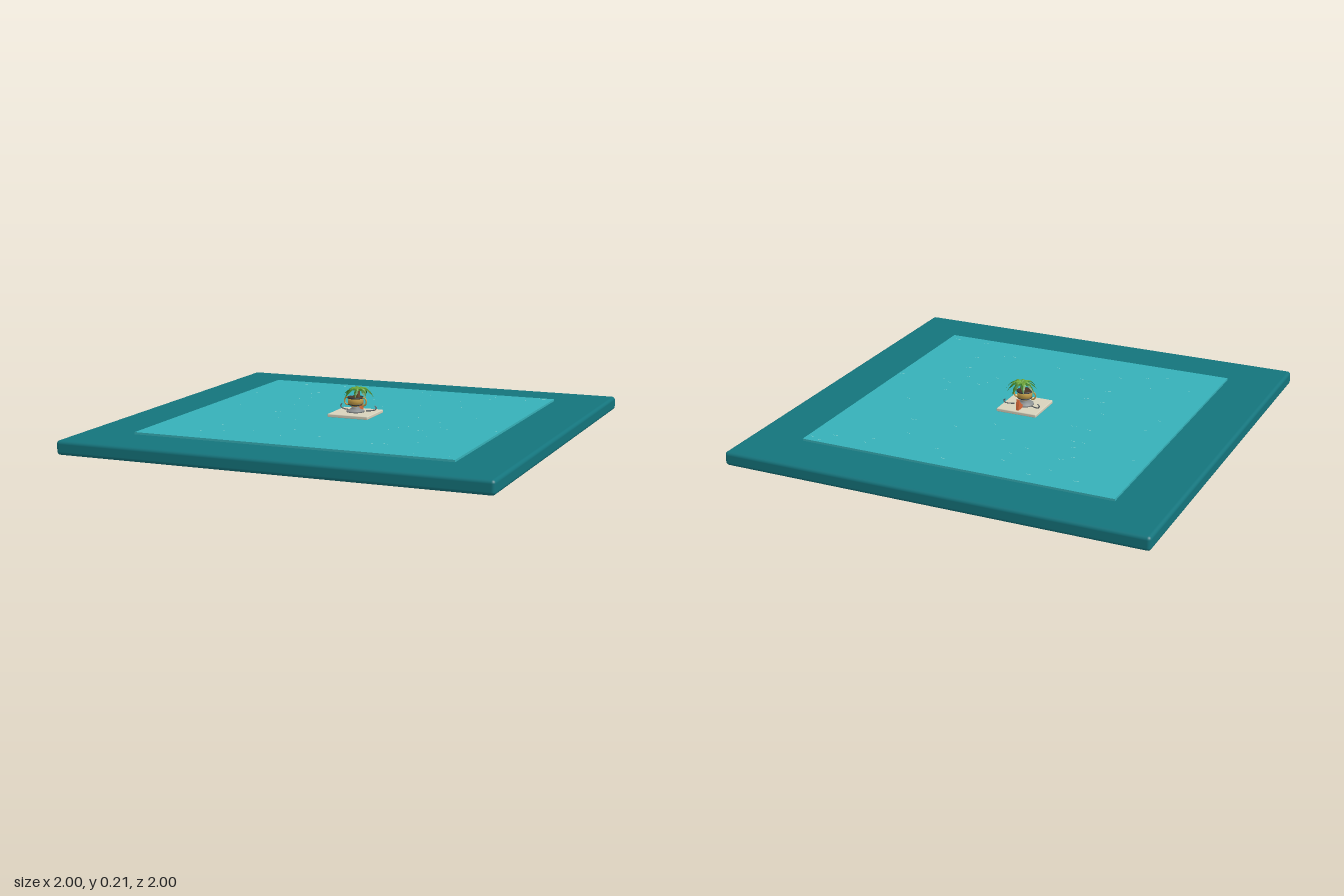
import * as THREE from 'three';
import { RoundedBoxGeometry } from 'three/addons/geometries/RoundedBoxGeometry.js';

const mat = (color, extra = {}) => {
  const m = new THREE.MeshStandardMaterial({ color, ...extra });
  return m;
};

function add(parent, name, geometry, material, x = 0, y = 0, z = 0) {
  const mesh = new THREE.Mesh(geometry, material);
  mesh.name = name;
  mesh.position.set(x, y, z);
  parent.add(mesh);
  return mesh;
}

const lathe = (points, sides = 20) =>
  new THREE.LatheGeometry(points.map(([r, y]) => new THREE.Vector2(r, y)), sides);

// Arching leaf along +x: left edge, raised midrib and right edge at each step
function frondGeometry(length, rise, droop, width) {
  const steps = 7, pos = [], index = [];
  for (let i = 0; i <= steps; i++) {
    const t = i / steps;
    const y = rise * Math.sin(t * Math.PI * 0.8) - droop * t * t;
    const w = width * Math.pow(Math.sin(Math.PI * (0.1 + 0.9 * t)), 0.8) * (i % 2 ? 1.1 : 0.8);
    for (const s of [-1, 0, 1]) pos.push(length * t, y - Math.abs(s) * w * 0.4, s * w);
    if (i < steps) {
      for (let k = 0; k < 2; k++) {
        const a = i * 3 + k;
        index.push(a, a + 1, a + 3, a + 1, a + 4, a + 3);
      }
    }
  }
  const g = new THREE.BufferGeometry();
  g.setAttribute('position', new THREE.Float32BufferAttribute(pos, 3));
  g.setIndex(index);
  g.computeVertexNormals();
  return g;
}

// Flat crescent ripple lying on the water
function rippleGeometry() {
  const s = new THREE.Shape();
  s.moveTo(-0.018, -0.004);
  s.quadraticCurveTo(0, 0.010, 0.018, -0.004);
  s.quadraticCurveTo(0, 0.005, -0.018, -0.004);
  return new THREE.ShapeGeometry(s, 6).rotateX(-Math.PI / 2);
}

// Ripple centres as x, z pairs
const RIPPLES = [
  -.54, -.66, -.33, -.68, .08, -.68, .47, -.67, .46, -.62, .63, -.66, .67, -.73, .72, -.71,
  -.40, -.60, -.17, -.59, .15, -.60, .34, -.50, -.17, -.51, -.39, -.48, -.43, -.44, -.21, -.43,
  -.07, -.39, -.69, -.36, -.39, -.34, .19, -.34, .40, -.35, -.42, -.275, -.36, -.275, .03, -.245,
  -.38, -.13, -.30, -.12, .54, -.13, -.62, -.03, .30, -.035, .43, .04, -.64, .10, -.37, .07,
  .46, .135, .73, .14, .32, .17, .51, .17, -.31, .20, -.22, .215, .29, .21, .41, .24,
  .27, .28, -.28, .34, .47, .35, -.11, .44, -.46, .46, -.64, .50, .49, .495, -.28, .53,
  .05, .53, -.40, .58, -.12, .585, .37, .57, .32, .58, -.49, .62, .54, .70, .70, .70,
];

export function createModel() {
  const model = new THREE.Group();
  model.name = 'waterGarden';

  // Basin slab and raised water sheet
  add(model, 'basin', new RoundedBoxGeometry(2, 0.065, 2, 3, 0.016), mat(0x14747c), 0, 0.0325, 0);
  add(model, 'water', new THREE.BoxGeometry(1.5, 0.025, 1.5), mat(0x36b0b8), 0, 0.0625, 0);

  // Ripples
  const ripples = new THREE.Group();
  ripples.name = 'ripples';
  model.add(ripples);
  const rippleShape = rippleGeometry();
  const foam = mat(0x8fd0cc, { side: THREE.DoubleSide });
  for (let i = 0; i < RIPPLES.length; i += 2) {
    add(ripples, 'ripple', rippleShape, foam, RIPPLES[i], 0.0765, RIPPLES[i + 1]);
  }

  // Stone tile in the middle
  add(model, 'tile', new RoundedBoxGeometry(0.2, 0.016, 0.2, 2, 0.004), mat(0xd8d2bc), 0, 0.082, 0);

  // Urn: grey foot, gold bowl, dark rim and soil
  const urn = new THREE.Group();
  urn.name = 'urn';
  urn.position.set(0, 0.09, 0);
  model.add(urn);
  const dark = mat(0x34383a);
  const gold = mat(0xc09a48);
  add(urn, 'foot', lathe([[0, 0], [0.042, 0], [0.042, 0.007], [0.026, 0.012], [0.018, 0.02], [0.022, 0.028], [0, 0.028]]), mat(0x8b8f90));
  add(urn, 'bowl', lathe([[0, 0.026], [0.022, 0.027], [0.033, 0.037], [0.036, 0.05], [0.034, 0.068], [0, 0.068]]), gold);
  add(urn, 'rim', new THREE.TorusGeometry(0.035, 0.004, 8, 24).rotateX(Math.PI / 2), dark, 0, 0.068, 0);
  add(urn, 'band', new THREE.TorusGeometry(0.032, 0.003, 8, 24).rotateX(Math.PI / 2), dark, 0, 0.036, 0);
  add(urn, 'soil', new THREE.CylinderGeometry(0.033, 0.033, 0.004, 20), mat(0x4a3524), 0, 0.068, 0);

  // Mirrored handles and curled ornaments on the tile
  for (const s of [-1, 1]) {
    const handle = add(urn, 'handle', new THREE.TorusGeometry(0.016, 0.0035, 8, 18), gold, s * 0.039, 0.05, 0);
    handle.scale.y = 1.15;
    const curl = new THREE.CatmullRomCurve3([
      [0.045, 0.004, -0.02], [0.07, 0.005, -0.03], [0.087, 0.01, -0.036],
      [0.09, 0.021, -0.037], [0.082, 0.027, -0.037],
    ].map(([x, y, z]) => new THREE.Vector3(s * x, y, z)));
    add(urn, 'curl', new THREE.TubeGeometry(curl, 14, 0.003, 6), mat(0x62676a));
  }

  // Small leaning orange fin at the back
  const fin = new THREE.Shape();
  fin.moveTo(0.035, 0);
  fin.lineTo(0.085, 0);
  fin.quadraticCurveTo(0.083, 0.035, 0.076, 0.052);
  fin.quadraticCurveTo(0.062, 0.022, 0.035, 0.012);
  const finGeo = new THREE.ExtrudeGeometry(fin, { depth: 0.014, bevelEnabled: false, curveSegments: 6 });
  finGeo.translate(0, 0, -0.007).rotateY(Math.PI / 2);
  add(urn, 'fin', finGeo, mat(0xd8693a));

  // Palm: short trunk and two tiers of drooping fronds
  const palm = new THREE.Group();
  palm.name = 'palm';
  palm.position.set(0.012, 0.158, -0.005);
  model.add(palm);
  add(palm, 'trunk', new THREE.CylinderGeometry(0.007, 0.01, 0.04, 8), mat(0x6b4b2a), 0, 0.02, 0);
  const tiers = [
    { count: 9, length: 0.08, rise: 0.021, droop: 0.044, width: 0.012, y: 0.034, color: 0x3c7a2a },
    { count: 7, length: 0.055, rise: 0.018, droop: 0.022, width: 0.010, y: 0.038, color: 0x6ba338 },
  ];
  tiers.forEach((t, k) => {
    const geo = frondGeometry(t.length, t.rise, t.droop, t.width);
    const leaf = mat(t.color, { side: THREE.DoubleSide, flatShading: true });
    for (let i = 0; i < t.count; i++) {
      const frond = add(palm, 'frond', geo, leaf, 0, t.y, 0);
      frond.rotation.y = ((i + k * 0.5) / t.count) * Math.PI * 2;
      frond.scale.setScalar(i % 2 ? 0.9 : 1);
    }
  });

  return model;
}
